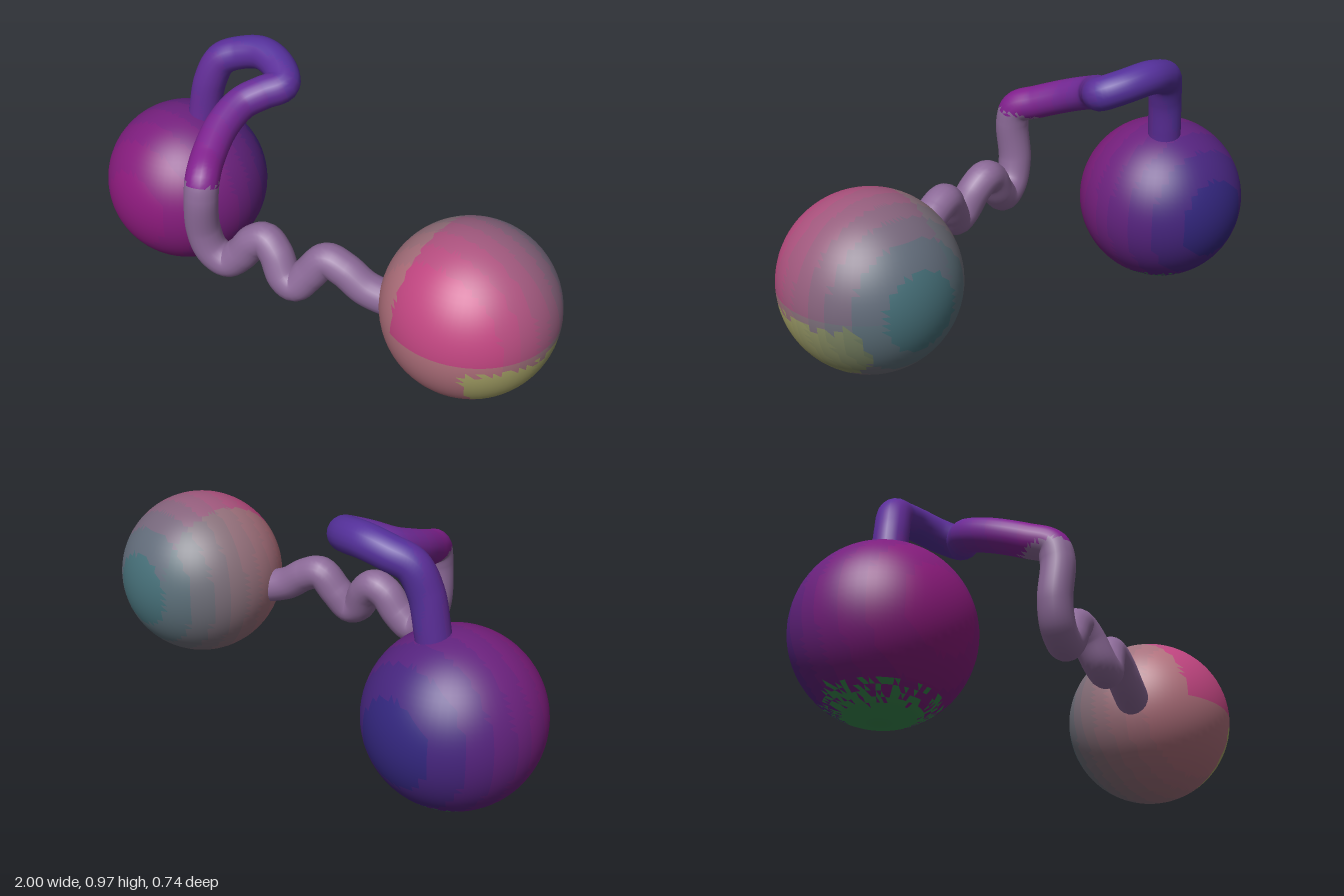
import * as THREE from 'three';

const BALL_R = 0.313;

// Small repeatable jitter that makes the colour borders ragged
const jitter = (p) => {
  const s = Math.sin(p.x * 127.1 + p.y * 311.7 + p.z * 74.7) * 43758.5;
  return s - Math.floor(s) - 0.5;
};

// Stepped blend between two colours
function blend(a, b, t) {
  const step = Math.round(THREE.MathUtils.clamp(t, 0, 1) * 8) / 8;
  return new THREE.Color(a).lerp(new THREE.Color(b), step).getHex();
}

// Split a geometry into one mesh per colour; colourAt gets each face centre
function paintedPart(name, geometry, colourAt) {
  const part = new THREE.Group();
  part.name = name;
  const pos = geometry.attributes.position;
  const index = geometry.index.array;
  const zones = new Map();
  const centre = new THREE.Vector3();
  const corner = new THREE.Vector3();
  for (let i = 0; i < index.length; i += 3) {
    centre.set(0, 0, 0);
    for (let k = 0; k < 3; k++) centre.add(corner.fromBufferAttribute(pos, index[i + k]));
    const colour = colourAt(centre.divideScalar(3));
    if (!zones.has(colour)) zones.set(colour, []);
    zones.get(colour).push(index[i], index[i + 1], index[i + 2]);
  }
  for (const [color, faces] of zones) {
    const zone = new THREE.BufferGeometry();
    for (const key of ['position', 'normal', 'uv']) zone.setAttribute(key, geometry.attributes[key]);
    zone.setIndex(faces);
    const mesh = new THREE.Mesh(zone, new THREE.MeshStandardMaterial({ color }));
    mesh.name = `${name}Zone`;
    part.add(mesh);
  }
  return part;
}

function ball(name, x, y, z, colourAt) {
  const part = paintedPart(name, new THREE.SphereGeometry(BALL_R, 64, 40),
    (p) => colourAt(p.divideScalar(BALL_R)));
  part.position.set(x, y, z);
  return part;
}

export function createModel() {
  const model = new THREE.Group();
  model.name = 'linkedBalls';

  // Purple ball with a green underside
  model.add(ball('lowerBall', -0.685, 0.314, -0.05, (p) =>
    p.y < -0.84 + 0.2 * jitter(p) ? 0x3a8a50 : blend(0x33267e, 0x8c1a7c, p.z * 0.5 + 0.5)));

  // Rose ball, teal at the back, olive on the outer lower side
  model.add(ball('upperBall', 0.685, 0.405, -0.06, (p) => {
    if (p.x > 0.5 && p.z > -0.75 && p.y < -0.1 + 0.12 * jitter(p)) {
      return blend(0x6f7c62, 0xa8a468, p.z + 0.8);
    }
    const front = p.y < 0 || p.x < -0.4 ? 0xb0707c : 0xc04580;
    return blend(0x466f78, front, p.z * 0.6 + 0.6);
  }));

  // Bent tube that climbs from one ball, hooks forward and waves to the other
  const path = new THREE.CatmullRomCurve3([
    [-0.64, 0.52, -0.1],
    [-0.63, 0.63, -0.11],
    [-0.61, 0.76, -0.125],
    [-0.575, 0.85, -0.155],
    [-0.51, 0.885, -0.195],
    [-0.42, 0.905, -0.218],
    [-0.32, 0.89, -0.198],
    [-0.262, 0.865, -0.15],
    [-0.3, 0.845, -0.09],
    [-0.342, 0.815, -0.02],
    [-0.335, 0.775, 0.09],
    [-0.285, 0.725, 0.215],
    [-0.24, 0.69, 0.29],
    [-0.232, 0.63, 0.308],
    [-0.238, 0.48, 0.3],
    [-0.21, 0.395, 0.288],
    [-0.155, 0.362, 0.268],
    [-0.105, 0.405, 0.245],
    [-0.06, 0.47, 0.225],
    [-0.018, 0.49, 0.21],
    [0.03, 0.455, 0.21],
    [0.08, 0.38, 0.218],
    [0.12, 0.363, 0.21],
    [0.165, 0.42, 0.18],
    [0.215, 0.485, 0.15],
    [0.28, 0.465, 0.13],
    [0.36, 0.41, 0.105],
    [0.48, 0.37, 0.05],
  ].map((p) => new THREE.Vector3(...p)));
  model.add(paintedPart('linkTube', new THREE.TubeGeometry(path, 240, 0.062, 20), (p) => {
    const pale = p.x > -0.16 || (p.z > 0.18 && p.y < 0.69 + 0.02 * jitter(p) + 0.2 * (p.z - 0.3));
    return pale ? 0x8c6a98 : blend(0x54309a, 0x82208e, (p.z + 0.2) * 2.2);
  }));

  return model;
}
